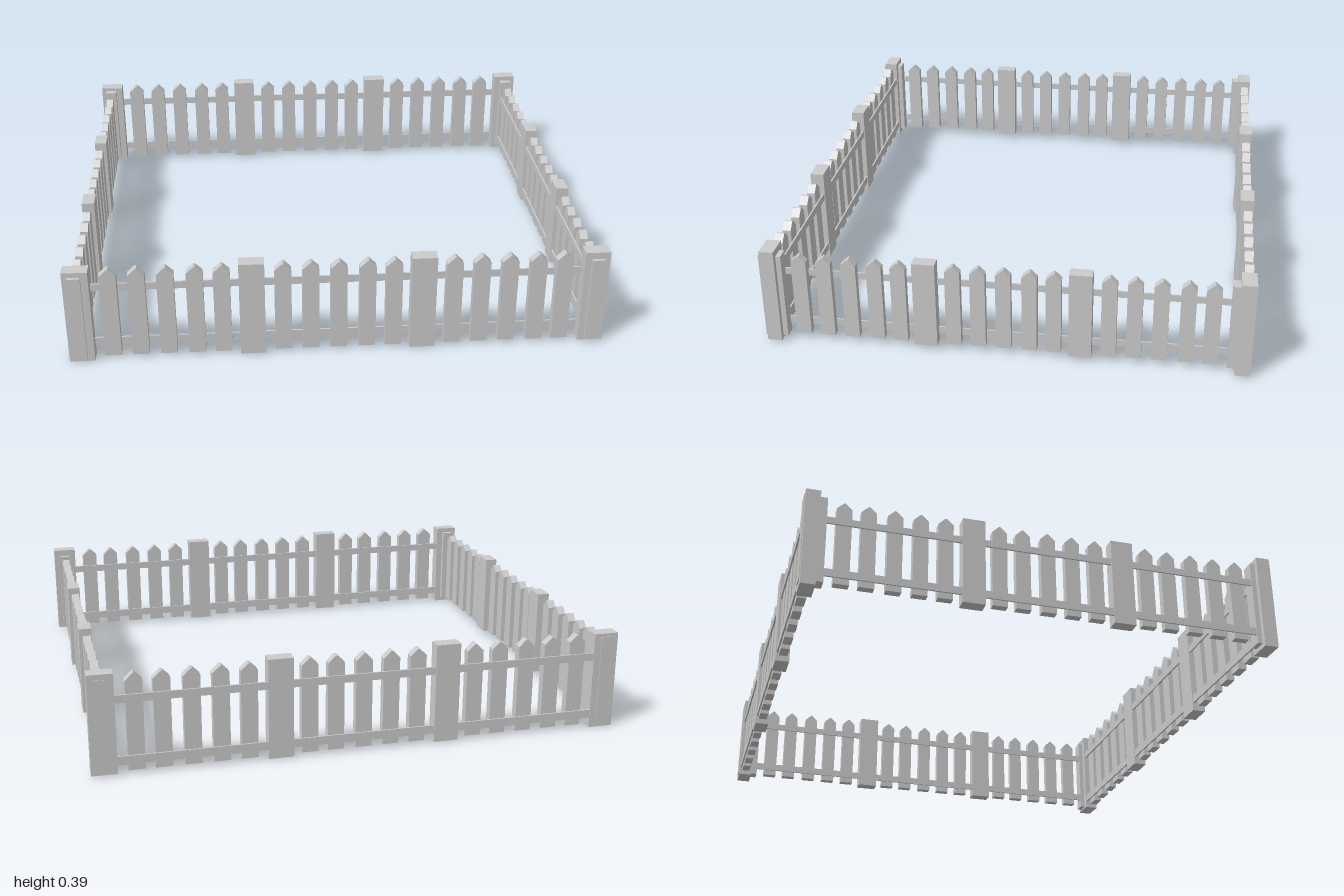
import * as THREE from 'three';

const material = new THREE.MeshStandardMaterial({ color: 0xcccccc, flatShading: true });

// Box given by its centre x, width, bottom, top and z range
function board(name, x, width, y0, y1, z0, z1) {
  const mesh = new THREE.Mesh(new THREE.BoxGeometry(width, y1 - y0, z1 - z0), material);
  mesh.position.set(x, (y0 + y1) / 2, (z0 + z1) / 2);
  mesh.name = name;
  return mesh;
}

// Pointed picket outline, extruded through its thickness
function picketGeometry() {
  const w = 0.031;
  const shape = new THREE.Shape([
    new THREE.Vector2(-w, 0.013),
    new THREE.Vector2(w, 0.013),
    new THREE.Vector2(w, 0.35),
    new THREE.Vector2(0.003, 0.377),
    new THREE.Vector2(-0.003, 0.377),
    new THREE.Vector2(-w, 0.35),
  ]);
  return new THREE.ExtrudeGeometry(shape, { depth: 0.033, bevelEnabled: false }).translate(0, 0, -0.018);
}

// One straight run: four posts, three bays of five pickets, two rails behind
function fenceRun(name) {
  const run = new THREE.Group();
  run.name = name;

  const posts = [[-0.953, 0, 0.378], [-0.32, 0.005, 0.387], [0.313, 0.005, 0.387], [0.953, 0.008, 0.385]];
  for (const [x, y0, y1] of posts) run.add(board('post', x, 0.094, y0, y1, -0.027, 0.027));

  const geometry = picketGeometry();
  for (const bay of [-0.633, 0, 0.633]) {
    for (const offset of [-0.206, -0.104, 0, 0.106, 0.204]) {
      const picket = new THREE.Mesh(geometry, material);
      picket.name = 'picket';
      picket.position.x = bay + offset;
      run.add(picket);
    }
  }

  run.add(board('upperRail', 0, 1.88, 0.273, 0.302, -0.024, -0.017));
  run.add(board('lowerRail', 0, 1.88, 0.039, 0.071, -0.024, -0.017));
  return run;
}

export function createModel() {
  const model = new THREE.Group();
  model.name = 'picketFence';

  // Front and back runs, full size
  for (const [name, z] of [['frontFence', 0.864], ['backFence', -0.873]]) {
    const run = fenceRun(name);
    run.position.z = z;
    model.add(run);
  }

  // Side runs, slightly smaller and turned to face +x
  for (const [name, x] of [['leftFence', 0.955], ['rightFence', -0.957]]) {
    const run = fenceRun(name);
    run.rotation.y = Math.PI / 2;
    run.scale.setScalar(0.903);
    run.position.set(x, 0.017, 0);
    model.add(run);
  }
  return model;
}
